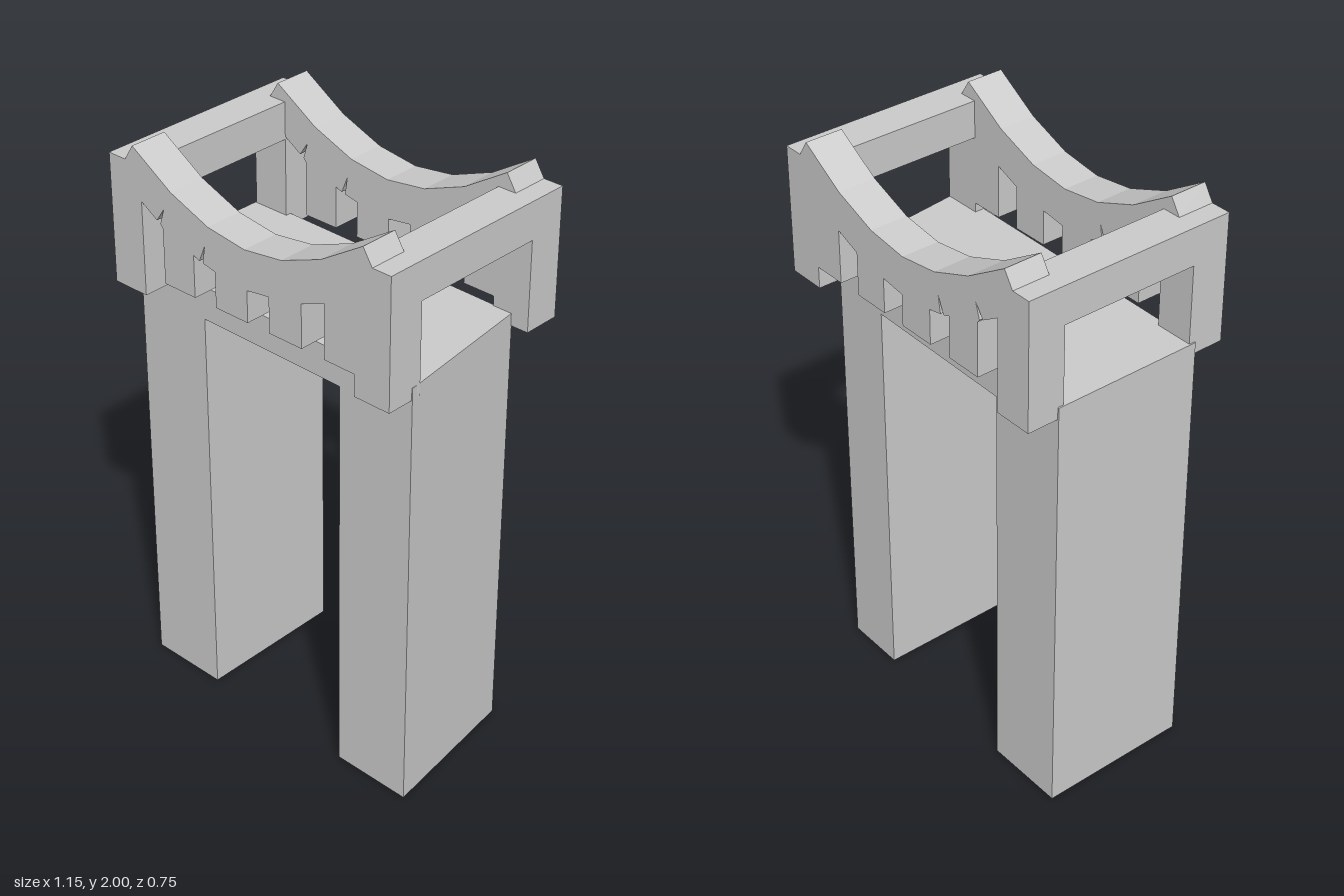
import * as THREE from 'three';

const material = new THREE.MeshStandardMaterial({ color: 0xcccccc, flatShading: true });

function extrude(points, depth) {
  const shape = new THREE.Shape(points.map(([x, y]) => new THREE.Vector2(x, y)));
  return new THREE.ExtrudeGeometry(shape, { depth, bevelEnabled: false });
}

function addMesh(parent, name, geometry, x = 0, y = 0, z = 0) {
  const mesh = new THREE.Mesh(geometry, material);
  mesh.name = name;
  mesh.position.set(x, y, z);
  parent.add(mesh);
}

// Two legs and the deck in one piece, slightly skewed in plan
function portalGeometry() {
  const geometry = extrude([
    [-0.575, 0], [-0.29, 0], [-0.29, 1.43], [0.286, 1.43],
    [0.286, 0], [0.573, 0], [0.573, 1.545], [-0.575, 1.545],
  ], 1);
  const p = geometry.attributes.position;
  for (let i = 0; i < p.count; i++) {
    const x = p.getX(i);
    const isFront = p.getZ(i) > 0.5;
    const skew = (x + 0.575) / 1.148;
    p.setZ(i, isFront ? 0.265 + 0.015 * skew : -0.268 + 0.018 * skew);
    // the outer back corner of the left leg is pulled inward
    if (!isFront && x > 0.5) p.setX(i, 0.505);
  }
  geometry.computeVertexNormals();
  return geometry;
}

export function createModel() {
  const model = new THREE.Group();
  model.name = 'gateway';
  addMesh(model, 'portal', portalGeometry());

  // Parapet outline: sagging top edge, toothed lower edge with broken openings
  const top = [
    [0.57, 1.945], [0.5, 1.945], [0.465, 2], [0.305, 1.9], [0.15, 1.84], [0, 1.82],
    [-0.15, 1.84], [-0.305, 1.9], [-0.465, 2], [-0.5, 1.945], [-0.57, 1.945],
  ];
  const bottom = [
    [-0.57, 1.503], [-0.435, 1.503], [-0.435, 1.825],
    [-0.37, 1.785], [-0.338, 1.832], [-0.355, 1.778], [-0.345, 1.765], [-0.345, 1.578],
    [-0.215, 1.578], [-0.215, 1.722], [-0.19, 1.713], [-0.166, 1.772], [-0.176, 1.71],
    [-0.125, 1.7], [-0.125, 1.578], [0.008, 1.578], [0.008, 1.687], [0.097, 1.7],
    [0.097, 1.578], [0.228, 1.578], [0.228, 1.727], [0.317, 1.763], [0.317, 1.578],
    [0.435, 1.578], [0.435, 1.503], [0.57, 1.503],
  ];
  const panel = extrude([...top, ...bottom], 0.132);
  addMesh(model, 'frontParapet', panel, 0, 0, 0.244);
  addMesh(model, 'backParapet', panel, 0, 0, -0.378);

  // Beams joining the parapets at both ends
  const beam = new THREE.BoxGeometry(0.135, 0.13, 0.49);
  addMesh(model, 'leftBeam', beam, 0.5025, 1.88, -0.001);
  addMesh(model, 'rightBeam', beam, -0.5025, 1.88, -0.001);

  return model;
}
